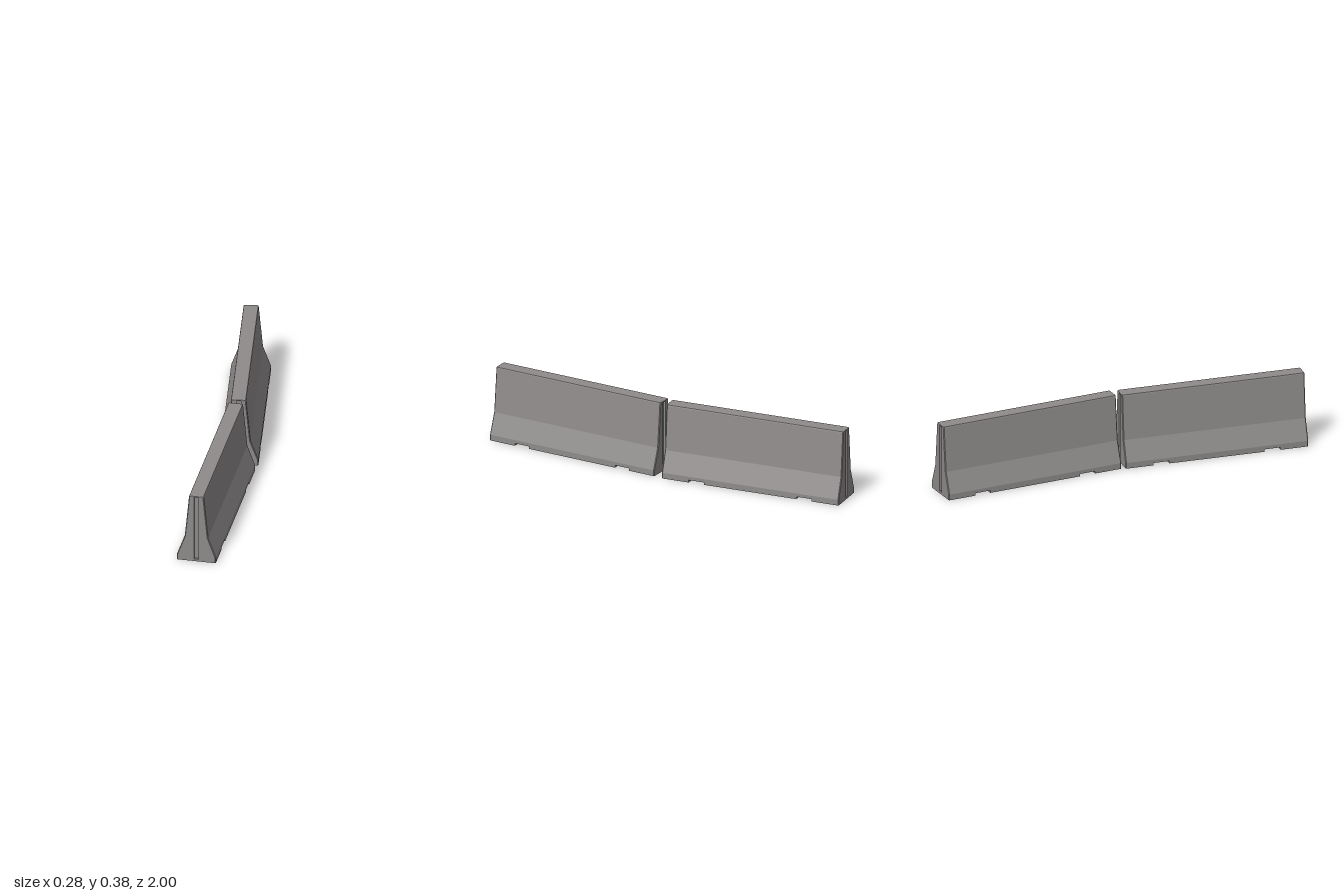
import * as THREE from 'three';

const concrete = new THREE.MeshStandardMaterial({ color: 0x8f8b8b, side: THREE.DoubleSide });
concrete.name = 'concrete grey';

const HALF = 0.489;      // half length of a barrier
const NOTCH = 0.013;     // height of the lifting notches
const BEVEL = 0.004;
const notches = [[-0.34, -0.255], [0.255, 0.34]];
const groove = { x: 0.0115, bottom: 0.012, top: 0.374, depth: 0.012 };

// Cross-section from right foot over the top to left foot
function profile(foot, inset) {
  const side = [[0.101, foot], [0.101, 0.031], [0.0605, 0.141], [0.0385, 0.374], [0.0365, 0.379], [0.033, 0.381]]
    .map(([x, y]) => [x - inset, y > 0.37 ? y - inset * 0.5 : y]);
  return [...side, ...side.slice().reverse().map(([x, y]) => [-x, y])];
}

// Geometry from a list of four-cornered faces
function quads(list) {
  const pos = [];
  for (const [a, b, c, d] of list) pos.push(...a, ...b, ...c, ...a, ...c, ...d);
  const g = new THREE.BufferGeometry();
  g.setAttribute('position', new THREE.Float32BufferAttribute(pos, 3));
  g.computeVertexNormals();
  return g;
}

function part(name, geometry) {
  const m = new THREE.Mesh(geometry, concrete);
  m.name = name;
  return m;
}

// Long hollow skin, raised at the feet where the notches cut through
function bodyGeometry() {
  const stations = [[-HALF, 0, BEVEL], [-HALF + BEVEL, 0, 0]];
  for (const [a, b] of notches) stations.push([a, 0, 0], [a, NOTCH, 0], [b, NOTCH, 0], [b, 0, 0]);
  stations.push([HALF - BEVEL, 0, 0], [HALF, 0, BEVEL]);
  const loops = stations.map(([z, foot, inset]) => profile(foot, inset).map(([x, y]) => [x, y, z]));
  const faces = [];
  for (let i = 0; i + 1 < loops.length; i++) {
    if (stations[i][0] === stations[i + 1][0]) continue;
    for (let j = 0; j + 1 < loops[i].length; j++) {
      faces.push([loops[i][j], loops[i][j + 1], loops[i + 1][j + 1], loops[i + 1][j]]);
    }
  }
  return quads(faces);
}

// Ceiling and two walls of a lifting notch
function notchGeometry(a, b) {
  const w = 0.101;
  return quads([
    [[-w, NOTCH, a], [w, NOTCH, a], [w, NOTCH, b], [-w, NOTCH, b]],
    [[-w, 0, a], [w, 0, a], [w, NOTCH, a], [-w, NOTCH, a]],
    [[w, 0, b], [-w, 0, b], [-w, NOTCH, b], [w, NOTCH, b]],
  ]);
}

// End wall with an opening for the joint groove
function endGeometry() {
  const { x, bottom, top } = groove;
  const shape = new THREE.Shape(profile(0, BEVEL).map(([px, py]) => new THREE.Vector2(px, py)));
  shape.holes.push(new THREE.Path([[-x, bottom], [-x, top], [x, top], [x, bottom]].map(p => new THREE.Vector2(...p))));
  return new THREE.ShapeGeometry(shape).translate(0, 0, HALF);
}

// Recessed walls and back of the groove
function grooveGeometry() {
  const { x, bottom, top, depth } = groove;
  const ring = [[-x, bottom], [x, bottom], [x, top], [-x, top]];
  const outer = ring.map(([px, py]) => [px, py, HALF]);
  const inner = ring.map(([px, py]) => [px, py, HALF - depth]);
  const faces = [inner];
  for (let i = 0; i < 4; i++) {
    const j = (i + 1) % 4;
    faces.push([outer[i], outer[j], inner[j], inner[i]]);
  }
  return quads(faces);
}

function barrier(name) {
  const g = new THREE.Group();
  g.name = name;
  g.add(part('body', bodyGeometry()));
  for (const [a, b] of notches) g.add(part('liftingNotch', notchGeometry(a, b)));
  for (const turn of [0, Math.PI]) {
    const end = new THREE.Group();
    end.name = turn ? 'backEnd' : 'frontEnd';
    end.add(part('endWall', endGeometry()), part('jointGroove', grooveGeometry()));
    end.rotation.y = turn;
    g.add(end);
  }
  return g;
}

export function createModel() {
  const model = new THREE.Group();
  model.name = 'roadBarriers';
  const front = barrier('frontBarrier');
  front.position.set(0.0055, 0, 0.506);
  front.rotation.y = -0.056;
  const back = barrier('backBarrier');
  back.position.set(0, 0, -0.504);
  back.rotation.y = 0.085;
  model.add(front, back);
  return model;
}
